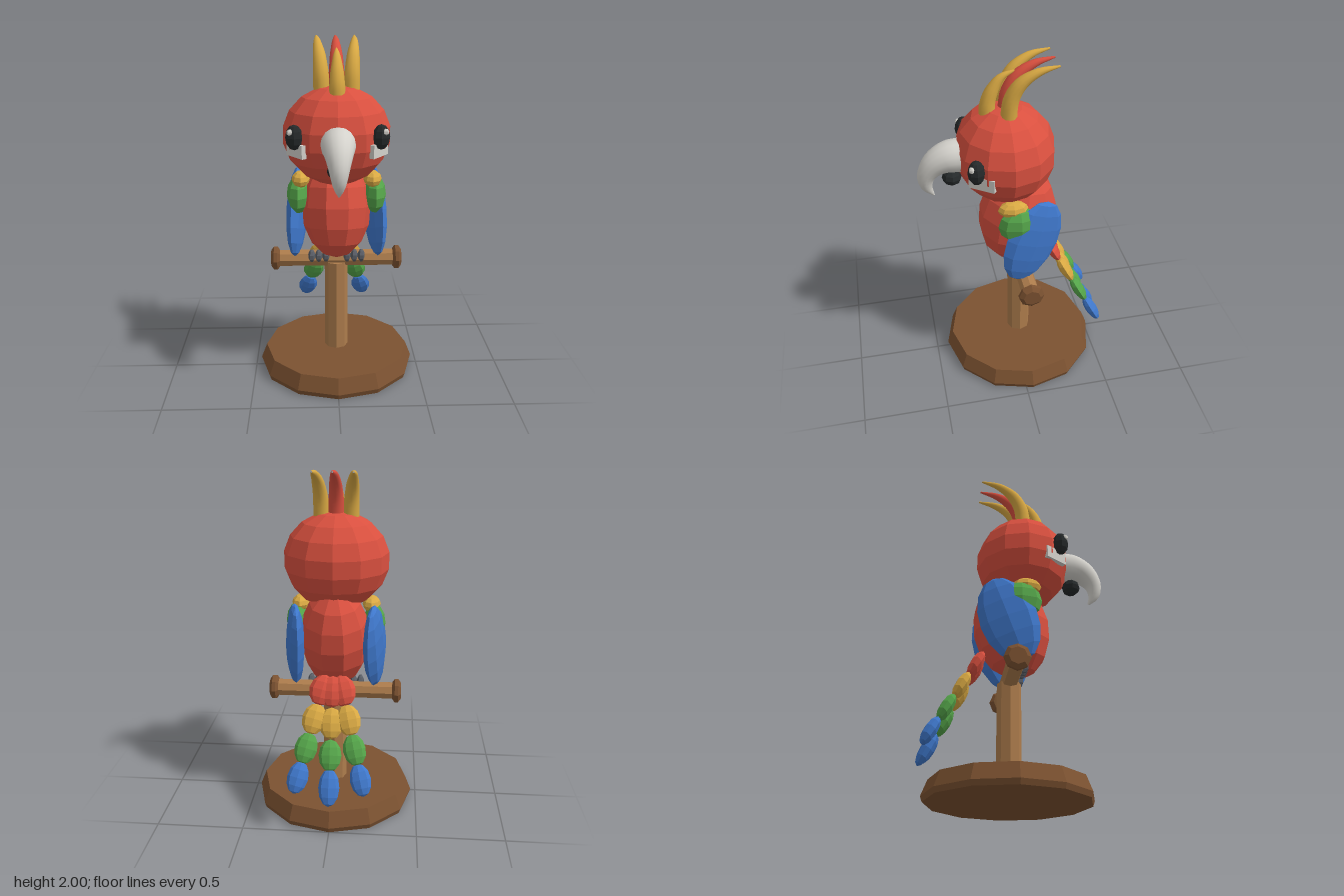
import * as THREE from 'three';
import { mergeVertices } from 'three/addons/utils/BufferGeometryUtils.js';

export function createModel() {
  const model = new THREE.Group();
  model.name = 'parrotOnPerch';

  const paint = (name, color, flatShading = true) => {
    const m = new THREE.MeshStandardMaterial({ color, flatShading });
    m.name = name;
    return m;
  };
  const red = paint('red', 0xd9503f);
  const yellow = paint('yellow', 0xd9a943);
  const green = paint('green', 0x55a54a);
  const blue = paint('blue', 0x3f78cc);
  const darkWood = paint('darkWood', 0x7c5231);
  const lightWood = paint('lightWood', 0xad7c4c);
  const ivory = paint('ivory', 0xd4d2cc);
  const black = paint('black', 0x25292a);
  const grey = paint('grey', 0x5a5e66);

  const add = (name, geometry, material, pos = [0, 0, 0], rot = [0, 0, 0]) => {
    const mesh = new THREE.Mesh(geometry, material);
    mesh.name = name;
    mesh.position.set(...pos);
    mesh.rotation.set(...rot);
    model.add(mesh);
    return mesh;
  };

  // Faceted ellipsoid with its radii baked in
  const blob = (name, material, pos, radii, rot, w = 8, h = 6) =>
    add(name, new THREE.SphereGeometry(1, w, h).scale(...radii), material, pos, rot);

  // Smooth horn: a tube whose radius follows a list of values
  const horn = (name, material, points, radii, sides = 12) => {
    const curve = new THREE.CatmullRomCurve3(points.map(p => new THREE.Vector3(...p)));
    const rings = 16;
    let geo = new THREE.TubeGeometry(curve, rings, 1, sides, false);
    const pos = geo.attributes.position;
    const v = new THREE.Vector3();
    for (let i = 0; i < pos.count; i++) {
      const t = Math.floor(i / (sides + 1)) / rings;
      const f = t * (radii.length - 1);
      const k = Math.min(Math.floor(f), radii.length - 2);
      const r = THREE.MathUtils.lerp(radii[k], radii[k + 1], f - k);
      const c = curve.getPointAt(t);
      v.fromBufferAttribute(pos, i).sub(c).multiplyScalar(r).add(c);
      pos.setXYZ(i, v.x, v.y, v.z);
    }
    geo.deleteAttribute('uv');
    geo.deleteAttribute('normal');
    geo = mergeVertices(geo);
    geo.computeVertexNormals();
    const smooth = material.clone();
    smooth.flatShading = false;
    return add(name, geo, smoothOf(material));
  };
  const smoothCache = new Map();
  function smoothOf(material) {
    if (!smoothCache.has(material)) {
      const m = material.clone();
      m.flatShading = false;
      m.name = material.name + 'Smooth';
      smoothCache.set(material, m);
    }
    return smoothCache.get(material);
  }

  const lathe = (pts, sides) =>
    new THREE.LatheGeometry(pts.map(p => new THREE.Vector2(...p)), sides);

  // Stand
  const standZ = -0.04;
  add('base', lathe([[0, 0], [0.46, 0], [0.47, 0.03], [0.435, 0.12], [0, 0.12]], 12),
    darkWood, [0, 0, standZ]);
  add('post', new THREE.CylinderGeometry(0.07, 0.07, 0.58, 8), lightWood, [0, 0.39, standZ]);
  add('perchBar', new THREE.CylinderGeometry(0.052, 0.052, 0.72, 8), lightWood,
    [0, 0.697, standZ], [0, 0, Math.PI / 2]);
  for (const s of [-1, 1]) {
    add('perchKnob',
      lathe([[0, -0.027], [0.05, -0.027], [0.075, -0.01], [0.075, 0.01], [0.05, 0.027], [0, 0.027]], 8),
      darkWood, [s * 0.365, 0.697, standZ], [0, 0, Math.PI / 2]);
  }

  // Body and head
  blob('body', red, [0, 1.03, -0.03], [0.208, 0.31, 0.226], [-0.2, 0, 0], 10, 8);
  blob('head', red, [0, 1.47, 0.04], [0.307, 0.283, 0.283], [0, 0, 0], 12, 9);

  // Beak
  horn('upperBeak', ivory,
    [[0, 1.47, 0.27], [0, 1.465, 0.36], [0, 1.43, 0.43], [0, 1.36, 0.48], [0, 1.29, 0.482], [0, 1.225, 0.445]],
    [0.096, 0.092, 0.075, 0.055, 0.036, 0.005], 16);
  blob('lowerBeak', black, [0, 1.335, 0.34], [0.062, 0.048, 0.056]);

  // Crest
  const plume = [0.046, 0.044, 0.036, 0.022, 0.005];
  for (const [x, mat] of [[-1, yellow], [0, red], [1, yellow]]) {
    horn('crestFeather', mat,
      [[x * 0.083, 1.69, 0.035], [x * 0.087, 1.82, 0.02], [x * 0.095, 1.91, -0.03],
        [x * 0.105, 1.97, -0.12], [x * 0.11, 1.995, -0.228]], plume);
  }
  horn('frontCrestFeather', yellow,
    [[0, 1.67, 0.135], [0, 1.77, 0.13], [0, 1.85, 0.1], [0, 1.91, 0.055], [0, 1.942, -0.015]],
    plume);

  for (const s of [-1, 1]) {
    // Face
    blob('eye', black, [s * 0.235, 1.497, 0.235], [0.048, 0.07, 0.048]);
    blob('eyeGlint', ivory, [s * 0.256, 1.528, 0.26], [0.019, 0.019, 0.019], [0, 0, 0], 6, 5);
    add('cheekPatch', new THREE.BoxGeometry(0.15, 0.075, 0.03), ivory,
      [s * 0.225, 1.42, 0.203], [0, s * 0.96, 0]);

    // Wing
    blob('wing', blue, [s * 0.232, 0.985, -0.072], [0.055, 0.272, 0.165], [-0.35, s * 0.2, s * 0.06], 8, 8);
    blob('wingCovert', green, [s * 0.225, 1.11, 0], [0.065, 0.112, 0.122]);
    blob('shoulder', yellow, [s * 0.207, 1.212, 0.035], [0.053, 0.047, 0.086]);

    // Toes
    for (const x of [0.063, 0.106, 0.148]) {
      blob('toe', grey, [s * x, 0.73, 0.012], [0.022, 0.038, 0.046], [0, 0, 0], 6, 5);
    }
  }

  // Tail: three fanned strands of four feathers each
  const tailColors = [red, yellow, green, blue];
  const halfWidths = [0.076, 0.07, 0.065, 0.06];
  const up = new THREE.Vector3(0, 1, 0);
  for (const s of [-1, 0, 1]) {
    const start = s ? [s * 0.058, 0.77, -0.235] : [0, 0.765, -0.24];
    const end = s ? [s * 0.177, 0.335, -0.475] : [0, 0.285, -0.488];
    const a = new THREE.Vector3(...start);
    const b = new THREE.Vector3(...end);
    const dir = a.clone().sub(b).normalize();
    tailColors.forEach((mat, i) => {
      const p = a.clone().lerp(b, i / 3);
      const len = i === 3 ? (s ? 0.092 : 0.105) : 0.09;
      blob('tailFeather', mat, p.toArray(), [halfWidths[i], len, 0.036])
        .quaternion.setFromUnitVectors(up, dir);
    });
  }

  return model;
}
